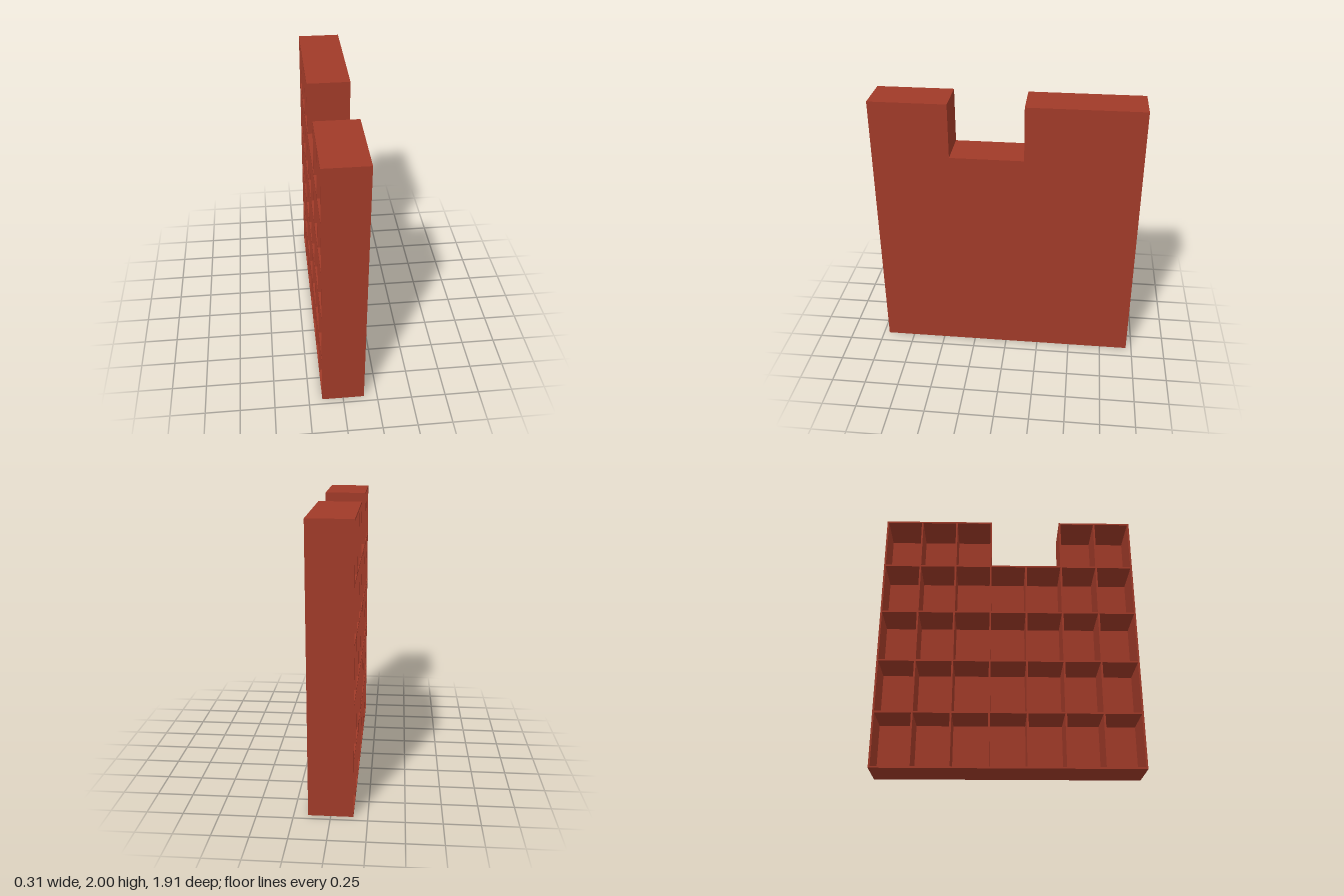
import * as THREE from 'three';

const HALF = 0.957, HEIGHT = 2, DEPTH = 0.306, WALL = 0.013;
const COLS = 7, ROWS = 5;
const pitchU = (2 * HALF - WALL) / COLS;
const pitchV = (HEIGHT - WALL) / ROWS;
const colU = (i) => -HALF + i * pitchU; // start of the upright before column i
const rowV = (j) => j * pitchV; // start of the shelf below row j

// The two cells missing from the top row form the notch
const NOTCH_FROM = 2, NOTCH_TO = 4;
const inNotch = (i, j) => j === ROWS - 1 && i >= NOTCH_FROM && i < NOTCH_TO;

// Notched outline, drawn with u = -z and v = y
function outline() {
  const a = colU(NOTCH_FROM) + WALL, b = colU(NOTCH_TO);
  const floor = rowV(ROWS - 1) + WALL;
  return new THREE.Shape([
    [-HALF, 0], [HALF, 0], [HALF, HEIGHT], [b, HEIGHT],
    [b, floor], [a, floor], [a, HEIGHT], [-HALF, HEIGHT],
  ].map(([u, v]) => new THREE.Vector2(u, v)));
}

// Extrudes a shape along x, from x0 to x1
function slab(name, shape, x0, x1, material) {
  const geometry = new THREE.ExtrudeGeometry(shape, { depth: x1 - x0, bevelEnabled: false });
  geometry.rotateY(Math.PI / 2).translate(x0, 0, 0);
  const mesh = new THREE.Mesh(geometry, material);
  mesh.name = name;
  return mesh;
}

export function createModel() {
  const group = new THREE.Group();
  group.name = 'notchedCompartmentWall';
  const material = new THREE.MeshStandardMaterial({ color: 0xa03a28 });

  // Grid of thin shelves and uprights, open towards -x
  const grid = outline();
  for (let i = 0; i < COLS; i++) {
    for (let j = 0; j < ROWS; j++) {
      if (inNotch(i, j)) continue;
      const u0 = colU(i) + WALL, u1 = colU(i + 1);
      const v0 = rowV(j) + WALL, v1 = rowV(j + 1);
      grid.holes.push(new THREE.Path([
        new THREE.Vector2(u0, v0), new THREE.Vector2(u0, v1),
        new THREE.Vector2(u1, v1), new THREE.Vector2(u1, v0),
      ]));
    }
  }
  const panelX = DEPTH / 2 - WALL;
  group.add(slab('compartmentGrid', grid, -DEPTH / 2, panelX, material));

  // Solid panel closing the +x side
  group.add(slab('closingPanel', outline(), panelX, DEPTH / 2, material));
  return group;
}
